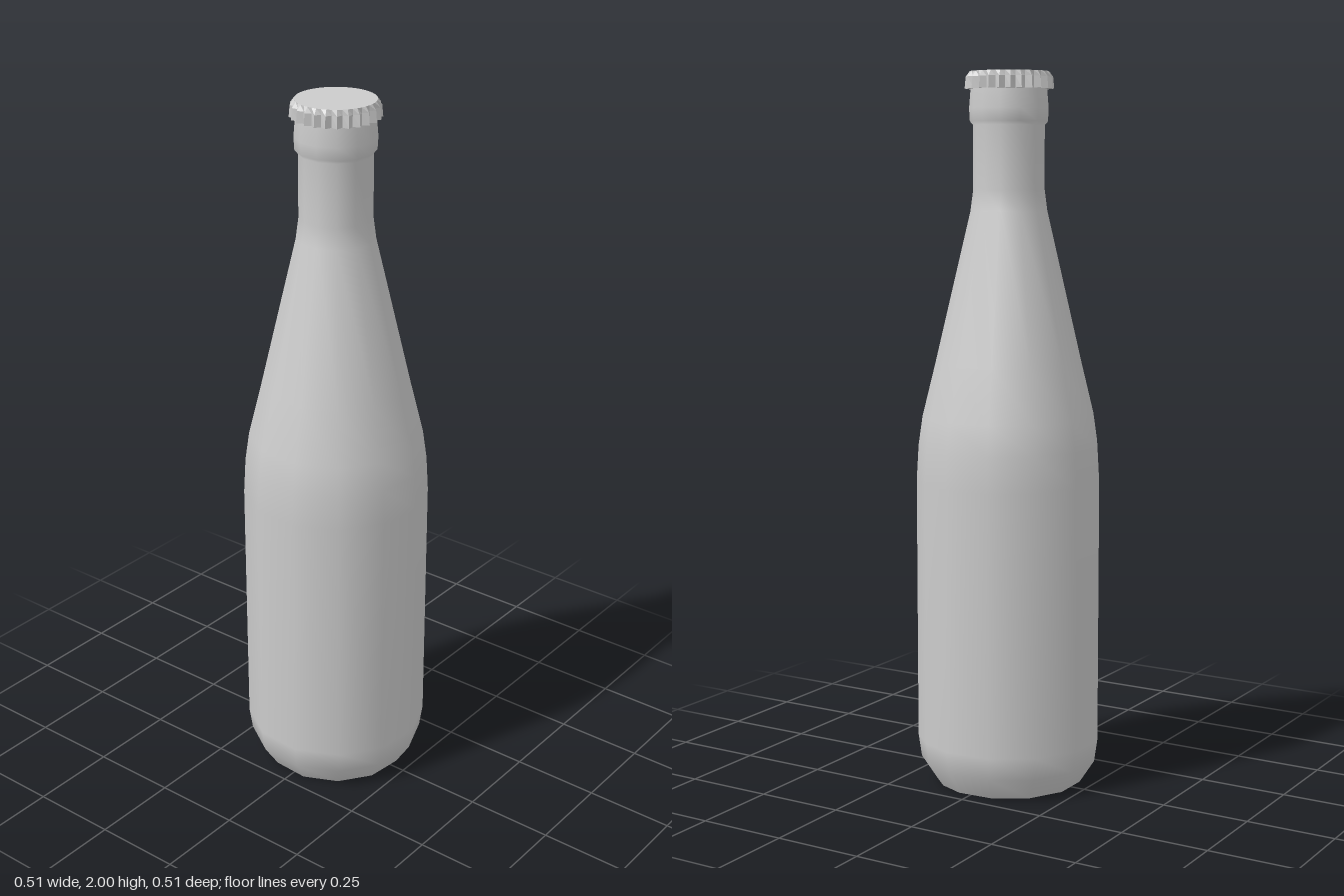
import * as THREE from 'three';

const grey = new THREE.MeshStandardMaterial({ color: 0xcccccc });
const grey2 = new THREE.MeshStandardMaterial({ color: 0xcccccc, flatShading: true });
const points = (list) => list.map(([r, y]) => new THREE.Vector2(r, y));
const rad = THREE.MathUtils.degToRad;

// Turned part: eleven wide facets, closed by two narrower ones
function turned(name, profile) {
  const part = new THREE.Group();
  part.name = name;
  for (const [segments, start, sweep] of [[11, 79.2, 316.8], [2, 36, 43.2]]) {
    const geometry = new THREE.LatheGeometry(points(profile), segments, rad(start), rad(sweep));
    const mesh = new THREE.Mesh(geometry, grey);
    mesh.name = name + 'Facets';
    part.add(mesh);
  }
  return part;
}

// Crimped cap: a lathe whose skirt radius alternates between tips and valleys
function crownCap() {
  const teeth = 25;
  const profile = [[0.1, 1.953], [0.123, 1.953], [0.12, 1.985], [0.109, 2], [0, 2]];
  const geometry = new THREE.LatheGeometry(points(profile), teeth * 2, Math.PI, Math.PI * 2);
  const pos = geometry.attributes.position;
  for (let i = 0; i < pos.count; i++) {
    const column = Math.floor(i / profile.length);
    const r = Math.hypot(pos.getX(i), pos.getZ(i));
    if (column % 2 === 1 && r > 0.112) {
      pos.setX(i, pos.getX(i) * 0.109 / r);
      pos.setZ(i, pos.getZ(i) * 0.109 / r);
    }
  }
  geometry.computeVertexNormals();
  const cap = new THREE.Mesh(geometry, grey2);
  cap.name = 'crownCap';
  return cap;
}

export function createModel() {
  const bottle = new THREE.Group();
  bottle.name = 'bottle';
  bottle.position.z = -0.003;

  // Body, shoulder, neck and lip
  bottle.add(turned('glassBody', [
    [0.21, 0], [0.252, 0.065], [0.2614, 0.13], [0.2614, 0.87],
    [0.2555, 0.97], [0.244, 1.05], [0.207, 1.2], [0.108, 1.62], [0.1, 1.68],
    [0.1, 1.855], [0.109, 1.865], [0.111, 1.9], [0.106, 1.96],
  ]));
  // Flat underside
  bottle.add(turned('base', [[0, 0], [0.21, 0]]));
  bottle.add(crownCap());
  return bottle;
}
